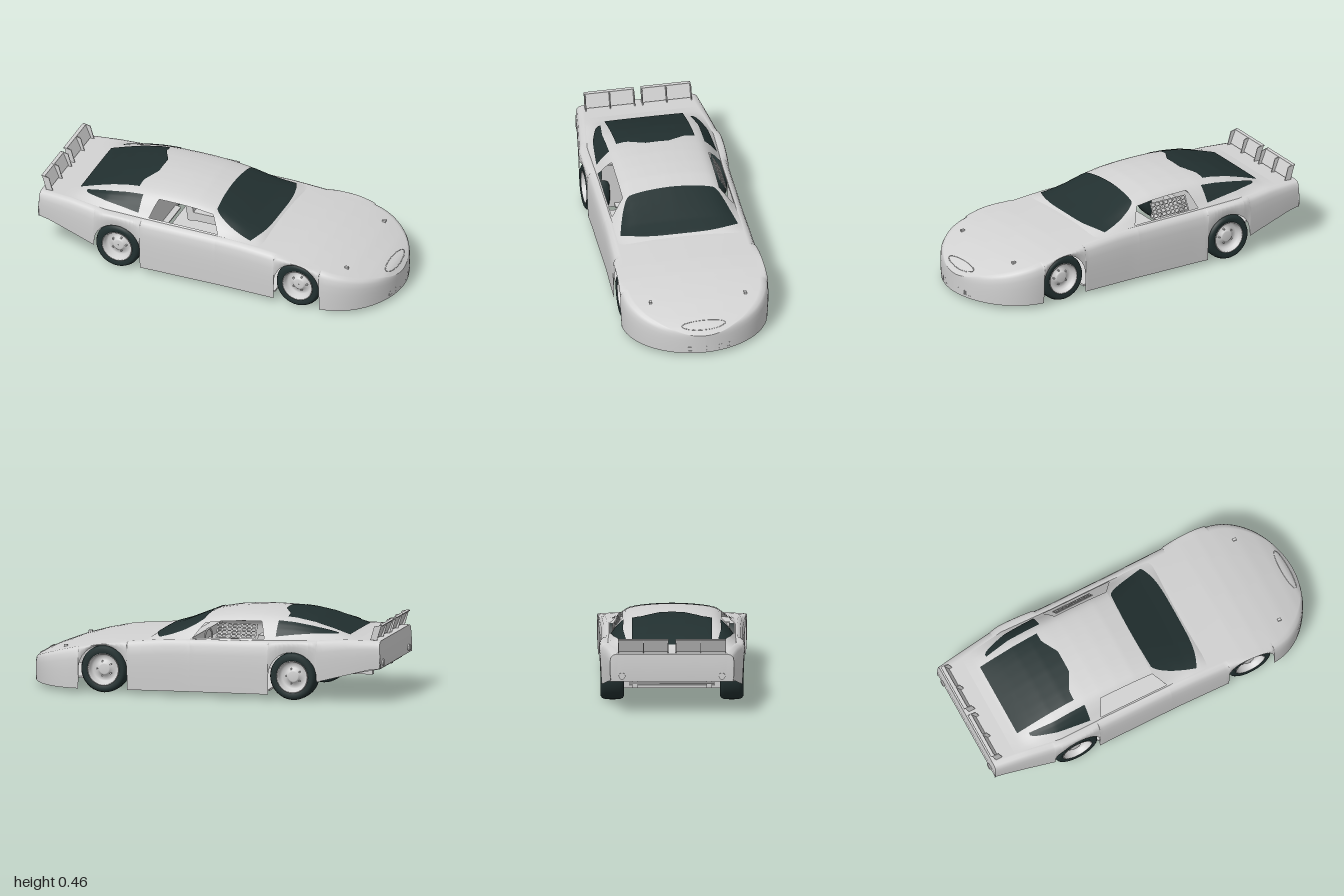
import * as THREE from 'three';

const bodyMat = new THREE.MeshStandardMaterial({ color: 0xd2d2d2, side: THREE.DoubleSide });
bodyMat.name = 'light grey paint';
const darkMat = new THREE.MeshStandardMaterial({ color: 0x223030, side: THREE.DoubleSide });
darkMat.name = 'dark glass and rubber';

// linear lookup in a table of [x, value] pairs
function look(table, x) {
  if (x <= table[0][0]) return table[0][1];
  for (let i = 1; i < table.length; i++) {
    const [x0, y0] = table[i - 1], [x1, y1] = table[i];
    if (x <= x1) return y0 + (y1 - y0) * (x - x0) / (x1 - x0);
  }
  return table[table.length - 1][1];
}
const lerp = THREE.MathUtils.lerp;

const WIDTH = [[-0.99, 0.335], [-0.8, 0.362], [-0.6, 0.393], [-0.3, 0.387], [0.1, 0.387], [0.4, 0.395], [0.66, 0.405]];
const SHOULDER = [[-0.99, 0.335], [-0.8, 0.338], [-0.6, 0.328], [-0.3, 0.315], [0, 0.31], [0.2, 0.305], [0.3, 0.297],
  [0.4, 0.288], [0.5, 0.279], [0.6, 0.266], [0.7, 0.246], [0.8, 0.22], [0.9, 0.187], [0.96, 0.162], [1, 0.13]];
const CROWN = [[0.2, 0], [0.3, 0.011], [0.5, 0.014], [0.8, 0.013], [0.96, 0.008], [1, 0]];
const ROOF = [[-0.86, 0.337], [-0.8, 0.346], [-0.7, 0.386], [-0.6, 0.42], [-0.5, 0.443], [-0.4, 0.455], [-0.3, 0.459],
  [-0.2, 0.457], [-0.1, 0.449], [0, 0.43], [0.1, 0.388], [0.2, 0.346], [0.28, 0.319], [0.32, 0.295]];
const BOTTOM = [[-0.99, 0.185], [-0.93, 0.178], [-0.66, 0.11], [-0.6, 0.1], [-0.45, 0.03], [1, 0.022]];
const SECTION = [[0, 1], [0.2, 0.985], [0.4, 0.95], [0.55, 0.9], [0.66, 0.84], [0.74, 0.75], [0.81, 0.6], [0.88, 0.4], [0.95, 0.15], [1, 0]];
const AXLES = [-0.515, 0.54], ARCH = 0.134;

const halfWidth = x => x <= 0.66 ? look(WIDTH, x) : 0.405 * Math.sqrt(Math.max(0, 1 - ((x - 0.66) / 0.34) ** 2));
const inset = x => 0.035 * Math.min(1, halfWidth(x) / 0.3);
const beltWidth = x => (halfWidth(x) - inset(x)) * 0.97;
function lowerEdge(x) {
  for (const c of AXLES) if (Math.abs(x - c) <= ARCH) return 0.13 + Math.sqrt(ARCH * ARCH - (x - c) ** 2);
  return look(BOTTOM, x);
}

// surface through rows of points, leaving out quads that keep() rejects
function surface(rows, keep = () => true) {
  const n = rows[0].length, index = [];
  for (let i = 0; i < rows.length - 1; i++) for (let j = 0; j < n - 1; j++) {
    if (!keep(i, j)) continue;
    const a = i * n + j, b = a + n;
    index.push(a, b, a + 1, b, b + 1, a + 1);
  }
  const g = new THREE.BufferGeometry();
  g.setAttribute('position', new THREE.Float32BufferAttribute(rows.flat(2), 3));
  g.setIndex(index);
  g.computeVertexNormals();
  return g;
}

// greenhouse surface: x along the car, q from -1 to 1 across it
function cabin(x, q) {
  const base = look(SHOULDER, x), h = Math.max(0, look(ROOF, x) - base);
  return [x, base + h * look(SECTION, Math.abs(q)), q * beltWidth(x)];
}
function cabinOut(x, q, d = 0.004) {
  const e = 0.012, v = (a, b) => new THREE.Vector3(...cabin(a, b));
  const n = v(x, q - e).sub(v(x, q + e)).cross(v(x + e, q).sub(v(x - e, q))).normalize();
  if (n.y < 0) n.negate();
  return v(x, q).addScaledVector(n, d).toArray();
}
function glassPatch(fn, nu = 28, nv = 28) {
  return surface(Array.from({ length: nv + 1 }, (_, i) =>
    Array.from({ length: nu + 1 }, (_, j) => cabinOut(...fn(j / nu, i / nv)))));
}

export function createModel() {
  const car = new THREE.Group();
  car.name = 'raceCar';
  const add = (name, geo, mat = bodyMat, pos = [0, 0, 0], rot = [0, 0, 0], parent = car) => {
    const m = new THREE.Mesh(geo, mat);
    m.name = name;
    m.position.set(...pos);
    m.rotation.set(...rot);
    parent.add(m);
    return m;
  };
  const box = (name, size, pos, rot, mat, parent) => add(name, new THREE.BoxGeometry(...size), mat, pos, rot, parent);

  // lower body: sections from sill over the shoulder to the other sill
  let xs = [-0.42, 0.06];
  for (let x = -0.99; x < 0.66; x += 0.0275) xs.push(x);
  for (let a = 0; a <= 24; a++) xs.push(0.66 + 0.34 * Math.sin(a / 24 * Math.PI / 2));
  for (const c of AXLES) {
    for (let a = 0; a <= 16; a++) xs.push(c - ARCH * 0.99999 * Math.cos(a / 16 * Math.PI));
    xs.push(c - ARCH - 0.001, c + ARCH + 0.001);
  }
  xs.sort((a, b) => a - b);
  const sides = [[0, 0.006], [0.25, 0.002], [0.5, 0], [0.72, 0], [0.88, 0.005], [0.96, 0.016], [1, 1]];
  const tops = [0.97, 0.85, 0.7, 0.55, 0.4, 0.2, 0];
  const sections = xs.map(x => {
    const w = halfWidth(x), ys = look(SHOULDER, x), yb = Math.min(lowerEdge(x), ys - 0.008), zs = w - inset(x);
    const half = sides.map(([f, d]) => [x, lerp(yb, ys, f), f === 1 ? zs : Math.max(0, w - d * Math.min(1, w / 0.2))]);
    tops.forEach(k => half.push([x, ys + look(CROWN, x) * (1 - k * k), zs * k]));
    return half.concat(half.slice(0, -1).reverse().map(([a, b, c]) => [a, b, -c]));
  });
  const first = sides.length, last = sections[0].length - first - 2;
  add('bodyShell', surface(sections, (i, j) =>
    !(j >= first && j <= last && xs[i] >= -0.421 && xs[i + 1] <= 0.061)));

  // tail panel
  const tail = sections[0];
  add('tailPanel', surface([tail.map(p => [-0.99, 0.185, p[2]]), tail.map(p => [-0.995, lerp(0.185, p[1], 0.5), p[2]]), tail]));
  for (const s of [-1, 1]) {
    add('tailLamp', new THREE.CylinderGeometry(0.018, 0.018, 0.012, 16), bodyMat, [-0.994, 0.215, s * 0.27], [0, 0, Math.PI / 2]);
    box('exhaustBox', [0.12, 0.025, 0.03], [-0.86, 0.148, s * 0.2]);
  }

  // greenhouse with open side windows whose ends slope
  const as = [-0.35, 0.06];
  for (let a = -0.86; a < 0.32; a += 0.02) as.push(a);
  as.push(0.32);
  as.sort((a, b) => a - b);
  const qh = [0, 0.07, 0.14, 0.2, 0.27, 0.34, 0.4, 0.48, 0.55, 0.61, 0.66, 0.7, 0.74, 0.78, 0.81, 0.85, 0.88, 0.92, 0.95, 0.98, 1];
  const qs = qh.slice(1).reverse().map(q => -q).concat(qh);
  const lean = (a, q) => {
    const t = Math.min(1, (1 - Math.abs(q)) / 0.22);
    return t * (-0.06 * Math.max(0, 1 - Math.abs(a - 0.06) / 0.2) + 0.035 * Math.max(0, 1 - Math.abs(a + 0.35) / 0.2));
  };
  add('cabinShell', surface(as.map(a => qs.map(q => cabin(a + lean(a, q), q))), (i, j) => {
    const q = Math.abs(qs[j] + qs[j + 1]) / 2;
    return !(q > 0.78 && q < 0.98 && as[i] >= -0.3501 && as[i + 1] <= 0.0601);
  }));

  // dark glass
  add('windshield', glassPatch((s, v) => {
    const u = s * 2 - 1, x = lerp(0.01 * u * u, 0.285 - 0.045 * u ** 4, v);
    return [x, u * lerp(0.23, 0.322, v ** 0.6) / beltWidth(x)];
  }), darkMat);
  add('rearWindow', glassPatch((s, v) => {
    const u = s * 2 - 1, x = lerp(-0.795, -0.4 - 0.05 * Math.min(1, Math.max(0, Math.abs(u) - 0.3) / 0.45), v);
    return [x, u * 0.215 / beltWidth(x)];
  }), darkMat);
  for (const s of [-1, 1]) {
    add('quarterWindow', glassPatch((u, v) =>
      [lerp(-0.74, -0.41, v), s * lerp(0.755, lerp(0.8, 0.955, Math.sqrt(v)), u)], 12, 24), darkMat);
  }

  // window net on the driver's side
  const net = new THREE.Group();
  net.name = 'windowNet';
  net.position.set(-0.185, 0.358, -0.302);
  net.rotation.x = 0.5;
  car.add(net);
  for (let i = 0; i < 9; i++) box('netStrap', [0.007, 0.085, 0.004], [-0.108 + i * 0.027, 0, 0], [0, 0, 0], bodyMat, net);
  for (let i = 0; i < 5; i++) box('netBand', [0.225, 0.006, 0.005], [0, -0.04 + i * 0.02, 0], [0, 0, 0], bodyMat, net);

  // cockpit
  box('rearBulkhead', [0.008, 0.29, 0.6], [-0.43, 0.19, 0]);
  box('dashboard', [0.05, 0.05, 0.62], [0.08, 0.29, 0]);
  box('seatBase', [0.16, 0.05, 0.16], [-0.2, 0.12, -0.16]);
  box('seatBack', [0.04, 0.24, 0.16], [-0.29, 0.21, -0.16], [0, 0, 0.15]);
  add('steeringWheel', new THREE.TorusGeometry(0.042, 0.005, 8, 24), bodyMat, [0.01, 0.3, -0.16], [0, Math.PI / 2 - 0.2, 0]);

  // underside
  box('floorPan', [0.78, 0.01, 0.72], [0.01, 0.05, 0]);
  box('frontFloor', [0.5, 0.01, 0.46], [0.64, 0.06, 0]);
  box('rearFloor', [0.58, 0.01, 0.46], [-0.68, 0.115, 0], [0, 0, -0.2]);

  // wheels: rubber tyre, dished rim, inner barrel
  const lathe = pts => new THREE.LatheGeometry(pts.map(p => new THREE.Vector2(...p)), 40);
  const tyre = lathe([[0.086, -0.058], [0.108, -0.064], [0.121, -0.056], [0.128, -0.038], [0.129, 0], [0.128, 0.038],
    [0.121, 0.056], [0.108, 0.064], [0.086, 0.058]]);
  const rim = lathe([[0.083, -0.058], [0.08, 0], [0.088, 0.059], [0.083, 0.06], [0.077, 0.035], [0.068, 0.018],
    [0.045, 0.022], [0.032, 0.036], [0.026, 0.04], [0.001, 0.04]]);
  for (const x of AXLES) for (const s of [-1, 1]) {
    const wheel = new THREE.Group();
    wheel.name = x > 0 ? 'frontWheel' : 'rearWheel';
    wheel.position.set(x, 0.13, s * 0.322);
    wheel.rotation.x = s * Math.PI / 2;
    car.add(wheel);
    add('tyre', tyre, darkMat, undefined, undefined, wheel);
    add('rim', rim, bodyMat, undefined, undefined, wheel);
    for (let i = 0; i < 5; i++) {
      const a = i / 5 * Math.PI * 2;
      add('lugNut', new THREE.CylinderGeometry(0.005, 0.005, 0.012, 6), bodyMat,
        [0.042 * Math.cos(a), 0.028, 0.042 * Math.sin(a)], undefined, wheel);
    }
  }

  // rear spoiler: two blades with end and middle supports
  for (const s of [-1, 1]) {
    box('spoilerBlade', [0.006, 0.08, 0.27], [-0.965, 0.377, s * 0.155], [0, 0, 0.4]);
    box('spoilerLip', [0.02, 0.005, 0.27], [-0.985, 0.414, s * 0.155]);
    const plate = new THREE.Shape([[-0.99, 0.418], [-0.95, 0.41], [-0.928, 0.335], [-0.965, 0.335]].map(p => new THREE.Vector2(...p)));
    for (const z of [0.022, 0.155, 0.29])
      add('spoilerSupport', new THREE.ExtrudeGeometry(plate, { depth: 0.005, bevelEnabled: false }), bodyMat, [0, 0, s * z - 0.0025]);
  }

  // nose details: air slots, upper intake rim, hood pins
  const noseX = z => 0.66 + 0.34 * Math.sqrt(1 - (z / 0.405) ** 2);
  for (let i = 0; i < 6; i++) {
    const z = -0.12 + i * 0.048, frame = new THREE.Shape(), hole = new THREE.Path();
    frame.moveTo(-0.021, -0.013).lineTo(0.021, -0.013).lineTo(0.021, 0.013).lineTo(-0.021, 0.013);
    hole.moveTo(-0.018, -0.01).lineTo(-0.018, 0.01).lineTo(0.018, 0.01).lineTo(0.018, -0.01);
    frame.holes.push(hole);
    add('airSlot', new THREE.ExtrudeGeometry(frame, { depth: 0.006, bevelEnabled: false }), bodyMat,
      [noseX(z) - 0.006, 0.048, z], [0, Math.PI / 2 - Math.asin(z / 0.55), 0]);
  }
  const loop = Array.from({ length: 32 }, (_, i) => {
    const a = i / 32 * Math.PI * 2, x = 0.952 - 0.024 * Math.sin(a);
    return new THREE.Vector3(x, look(SHOULDER, x) + look(CROWN, x), 0.12 * Math.cos(a));
  });
  add('intakeRim', new THREE.TubeGeometry(new THREE.CatmullRomCurve3(loop, true), 64, 0.002, 6, true));
  for (const s of [-1, 1]) box('hoodPin', [0.02, 0.012, 0.014], [0.78, 0.235, s * 0.26]);
  return car;
}
